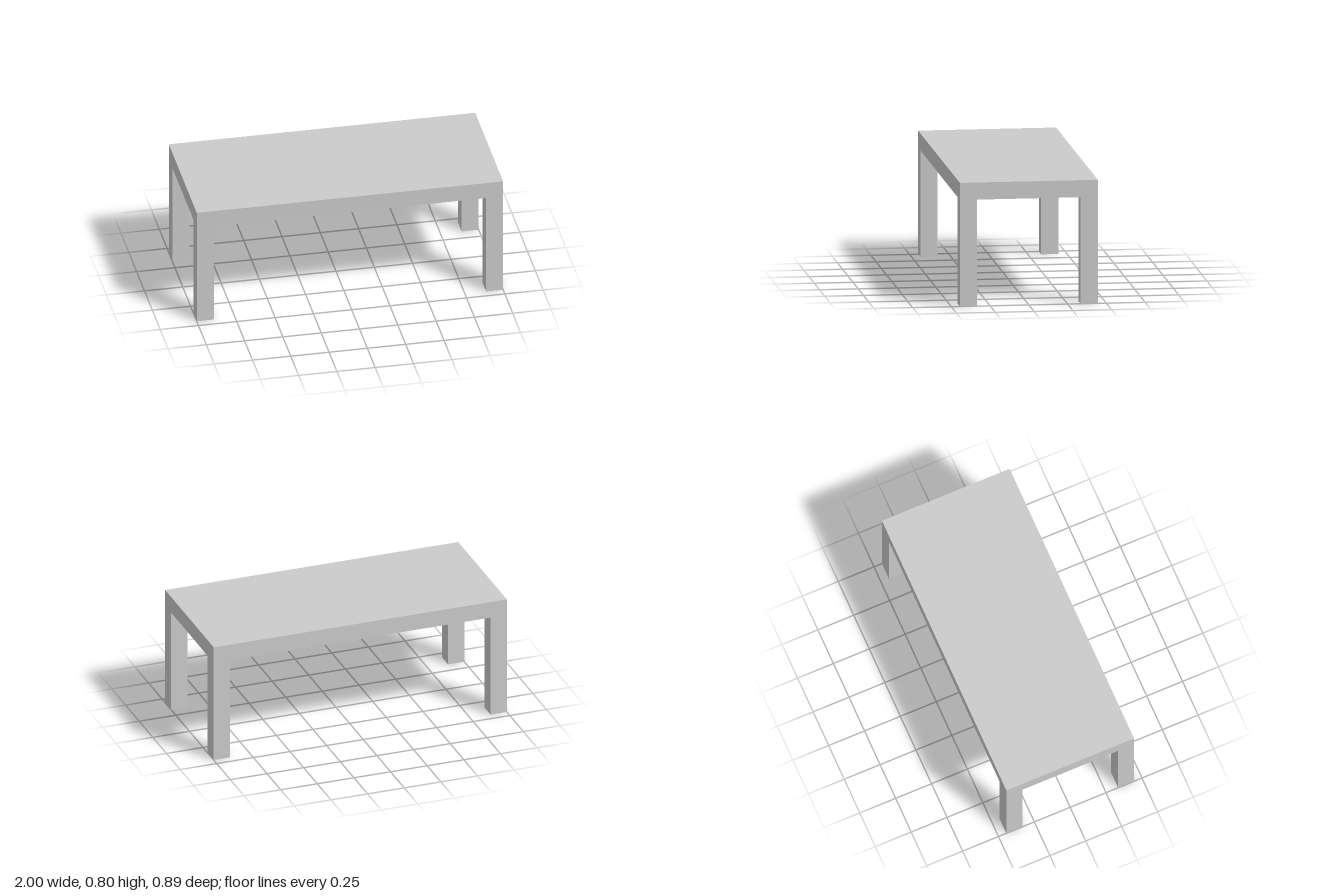
import * as THREE from 'three';

const WIDTH = 2, DEPTH = 0.89, HEIGHT = 0.802;
const THICK = 0.111; // slab thickness and leg width

export function createModel() {
  const table = new THREE.Group();
  table.name = 'table';
  const material = new THREE.MeshStandardMaterial({ color: 0xcccccc });

  const addBox = (name, w, h, d, x, y, z) => {
    const mesh = new THREE.Mesh(new THREE.BoxGeometry(w, h, d), material);
    mesh.name = name;
    mesh.position.set(x, y, z);
    table.add(mesh);
  };

  // Solid top slab
  addBox('tableTop', WIDTH, THICK, DEPTH, 0, HEIGHT - THICK / 2, 0);

  // Square legs flush with the corners
  const legHeight = HEIGHT - THICK;
  for (const [side, sx] of [['Left', 1], ['Right', -1]]) {
    for (const [end, sz] of [['front', 1], ['back', -1]]) {
      addBox(`${end}${side}Leg`, THICK, legHeight, THICK,
        sx * (WIDTH - THICK) / 2, legHeight / 2, sz * (DEPTH - THICK) / 2);
    }
  }
  return table;
}
